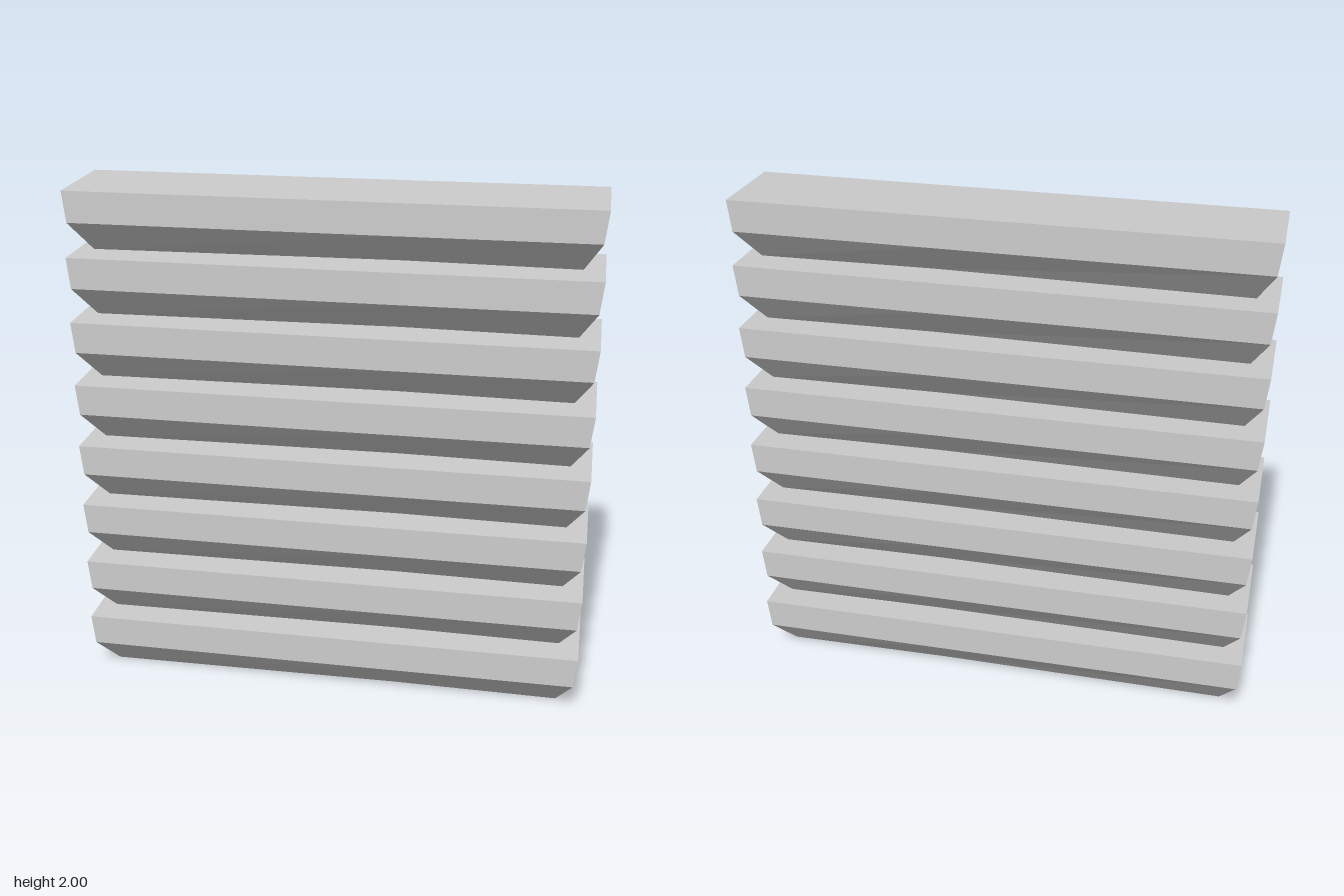
import * as THREE from 'three';

const COUNT = 8;
const PITCH = 0.2503;

// Half length, half depth, height and rise towards the back of each level
const LEVELS = [
  { x: 0.908, z: 0.09, y: 0.003, rise: 0.005 },
  { x: 0.973, z: 0.185, y: 0.124, rise: 0.012 },
  { x: 0.987, z: 0.184, y: 0.242, rise: 0.012 },
];

// One slab: upright upper half, bevelled lower half, slightly uneven
function slabGeometry() {
  const box = new THREE.BoxGeometry(2, 2, 2, 2, 2, 1);
  const pos = box.attributes.position;
  for (let i = 0; i < pos.count; i++) {
    const sx = Math.round(pos.getX(i));
    const row = Math.round(pos.getY(i)) + 1;
    const sz = Math.round(pos.getZ(i));
    const level = LEVELS[row];
    const x = sx === 0 ? 0.25 : sx * level.x;
    // Underside bows up a little along its length
    const bow = row === 0 ? (sx === 0 ? 0.009 : sx > 0 ? 0.004 : 0) : sx * 0.001;
    const y = level.y - (sz * level.rise) / 2 + bow;
    // Back edge flares slightly towards the left end
    const z = sz * level.z - (sz < 0 ? sx * 0.003 : 0);
    pos.setXYZ(i, x, Math.max(0, y), z);
  }
  const flat = box.toNonIndexed();
  flat.computeVertexNormals();
  return flat;
}

export function createModel() {
  const model = new THREE.Group();
  model.name = 'slabStack';
  const material = new THREE.MeshStandardMaterial({ color: 0xcccccc, flatShading: true });
  const geometry = slabGeometry();

  // Evenly spaced vertical stack
  for (let i = 0; i < COUNT; i++) {
    const slab = new THREE.Mesh(geometry, material);
    slab.name = `slab${i + 1}`;
    slab.position.y = i * PITCH;
    model.add(slab);
  }
  return model;
}
